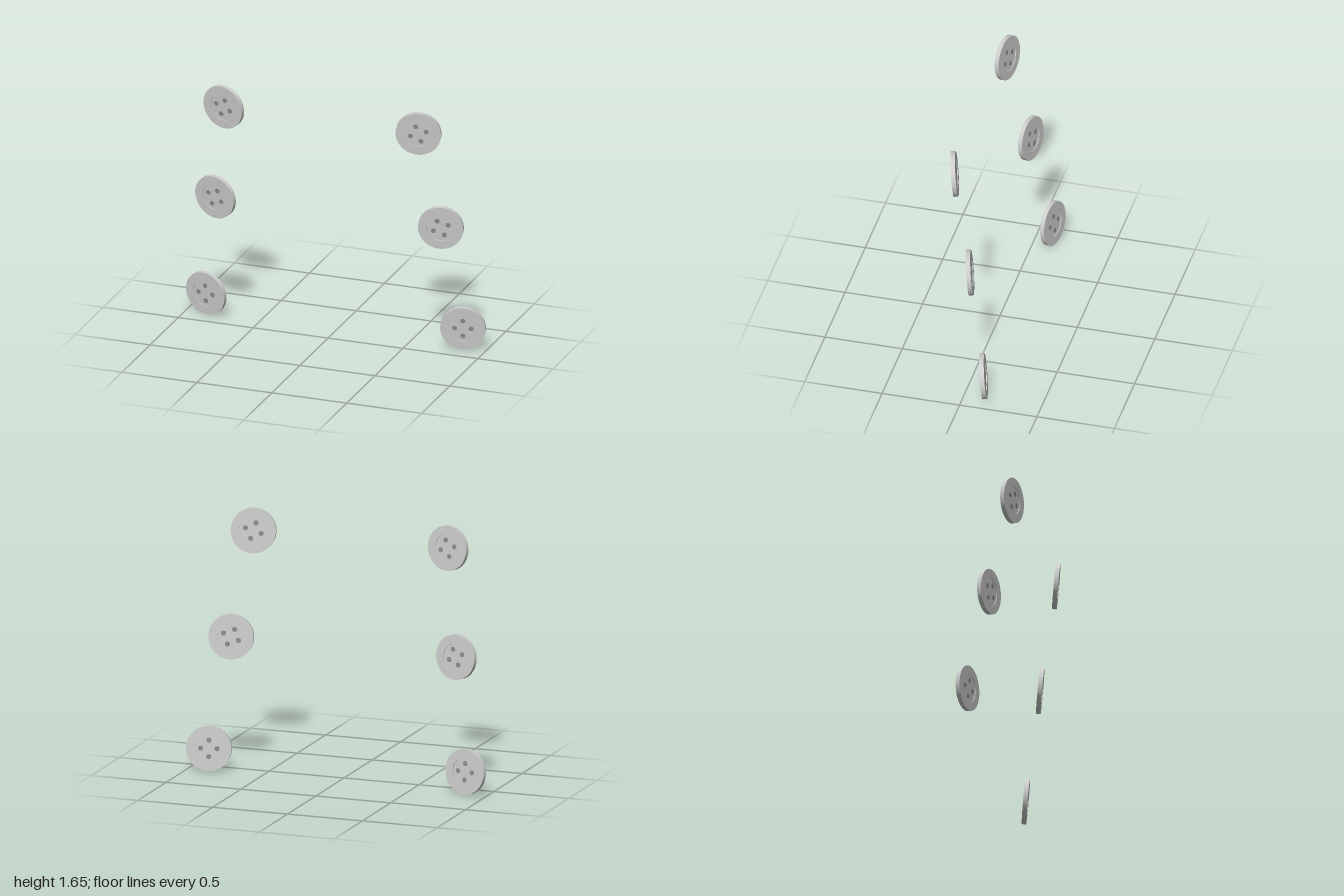
import * as THREE from 'three';
import { toCreasedNormals } from 'three/addons/utils/BufferGeometryUtils.js';

const R = 0.143;         // button radius
const HALF = 0.014;      // half thickness
const DISH_R = 0.088;    // radius of the sunken centre
const DISH_HALF = 0.009; // half thickness of the sunken centre
const deg = THREE.MathUtils.degToRad;

// Disc with a shallow dish on both faces, axis along z
function discGeometry() {
  const profile = [
    [0, -DISH_HALF], [DISH_R, -DISH_HALF], [DISH_R, -HALF], [R, -HALF],
    [R, HALF], [DISH_R, HALF], [DISH_R, DISH_HALF], [0, DISH_HALF],
  ].map(([x, y]) => new THREE.Vector2(x, y));
  const lathe = new THREE.LatheGeometry(profile, 64).rotateX(Math.PI / 2);
  return toCreasedNormals(lathe, deg(40));
}

export function createModel() {
  const model = new THREE.Group();
  model.name = 'buttons';

  const body = new THREE.MeshStandardMaterial({ color: 0xcccccc });
  const dark = new THREE.MeshStandardMaterial({ color: 0x8c8c8c });
  const disc = discGeometry();
  // Thread hole plug, showing just proud of both dished faces
  const hole = new THREE.CylinderGeometry(0.016, 0.016, DISH_HALF * 2 + 0.002, 24).rotateX(Math.PI / 2);

  function makeButton(name, spin) {
    const button = new THREE.Group();
    button.name = name;
    const face = new THREE.Mesh(disc, body);
    face.name = 'buttonDisc';
    button.add(face);
    for (let i = 0; i < 4; i++) {
      const a = spin + i * Math.PI / 2;
      const dot = new THREE.Mesh(hole, dark);
      dot.name = 'threadHole';
      dot.position.set(0.052 * Math.cos(a), 0.052 * Math.sin(a), 0);
      button.add(dot);
    }
    return button;
  }

  // Three mirrored pairs, spreading outwards and back towards the bottom
  const rows = [
    { name: 'top', x: 0.65, y: 1.51, z: 0.122, spin: 18 },
    { name: 'middle', x: 0.752, y: 0.847, z: -0.003, spin: 25 },
    { name: 'bottom', x: 0.857, y: 0.145, z: -0.118, spin: 0 },
  ];
  for (const { name, x, y, z, spin } of rows) {
    for (const side of [1, -1]) {
      const button = makeButton(name + (side > 0 ? 'LeftButton' : 'RightButton'), side * deg(spin));
      button.position.set(side * x, y, z);
      button.rotation.set(deg(5), side * deg(13), 0, 'YXZ');
      model.add(button);
    }
  }
  return model;
}
